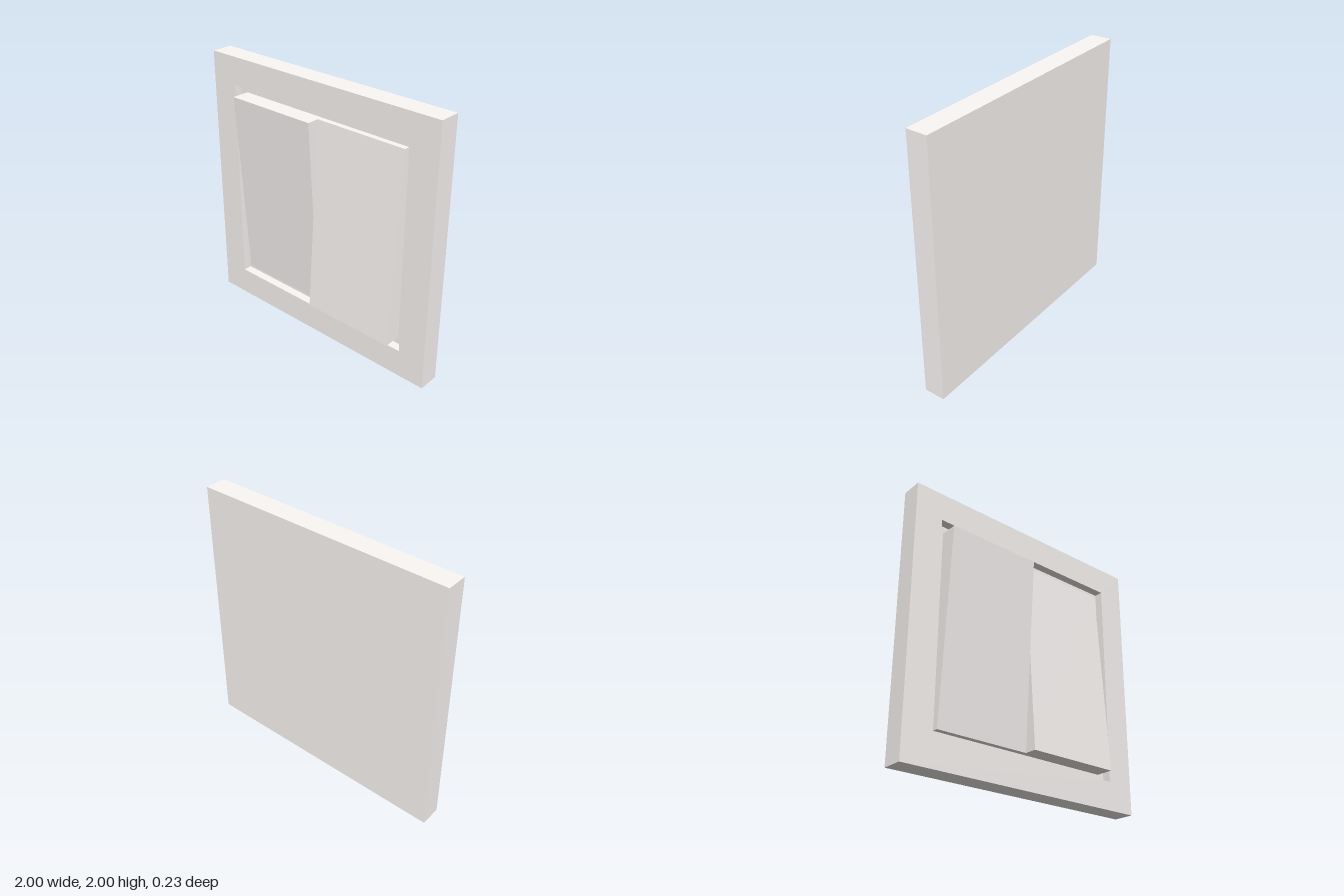
import * as THREE from 'three';

const BACK = -0.115, FACE = 0.045, FLOOR = -0.02;
const HIGH = 0.115, LOW = 0.022; // rocker front at its raised and pressed ends
const OPENING = 0.787, ROCKER = 0.73; // half sizes

export function createModel() {
  const group = new THREE.Group();
  const material = new THREE.MeshStandardMaterial({ color: 0xfcf8f6, flatShading: true });

  const add = (name, geometry, x, y, z) => {
    const mesh = new THREE.Mesh(geometry, material);
    mesh.name = name;
    mesh.position.set(x, y, z);
    group.add(mesh);
  };

  const square = (Type, h) => new Type([
    new THREE.Vector2(-h, -h), new THREE.Vector2(h, -h),
    new THREE.Vector2(h, h), new THREE.Vector2(-h, h),
  ]);

  // Square surround with a square opening
  const outline = square(THREE.Shape, 1);
  outline.holes.push(square(THREE.Path, OPENING));
  add('frame', new THREE.ExtrudeGeometry(outline, { depth: FACE - BACK, bevelEnabled: false }), 0, 1, BACK);

  // Panel closing the back of the opening and forming the recess floor
  add('backPanel', new THREE.BoxGeometry(2 * OPENING, 2 * OPENING, FLOOR - BACK), 0, 1, (FLOOR + BACK) / 2);

  // Two wedge rockers tilted in opposite directions
  const rocker = (topZ, bottomZ) => {
    const geometry = new THREE.BoxGeometry(ROCKER, 2 * ROCKER, 1);
    const p = geometry.attributes.position;
    for (let i = 0; i < p.count; i++) {
      const front = p.getY(i) > 0 ? topZ : bottomZ;
      p.setZ(i, p.getZ(i) > 0 ? front : FLOOR);
    }
    geometry.computeVertexNormals();
    return geometry;
  };
  add('rightRocker', rocker(HIGH, LOW), -ROCKER / 2, 1, 0);
  add('leftRocker', rocker(LOW, HIGH), ROCKER / 2, 1, 0);

  return group;
}
